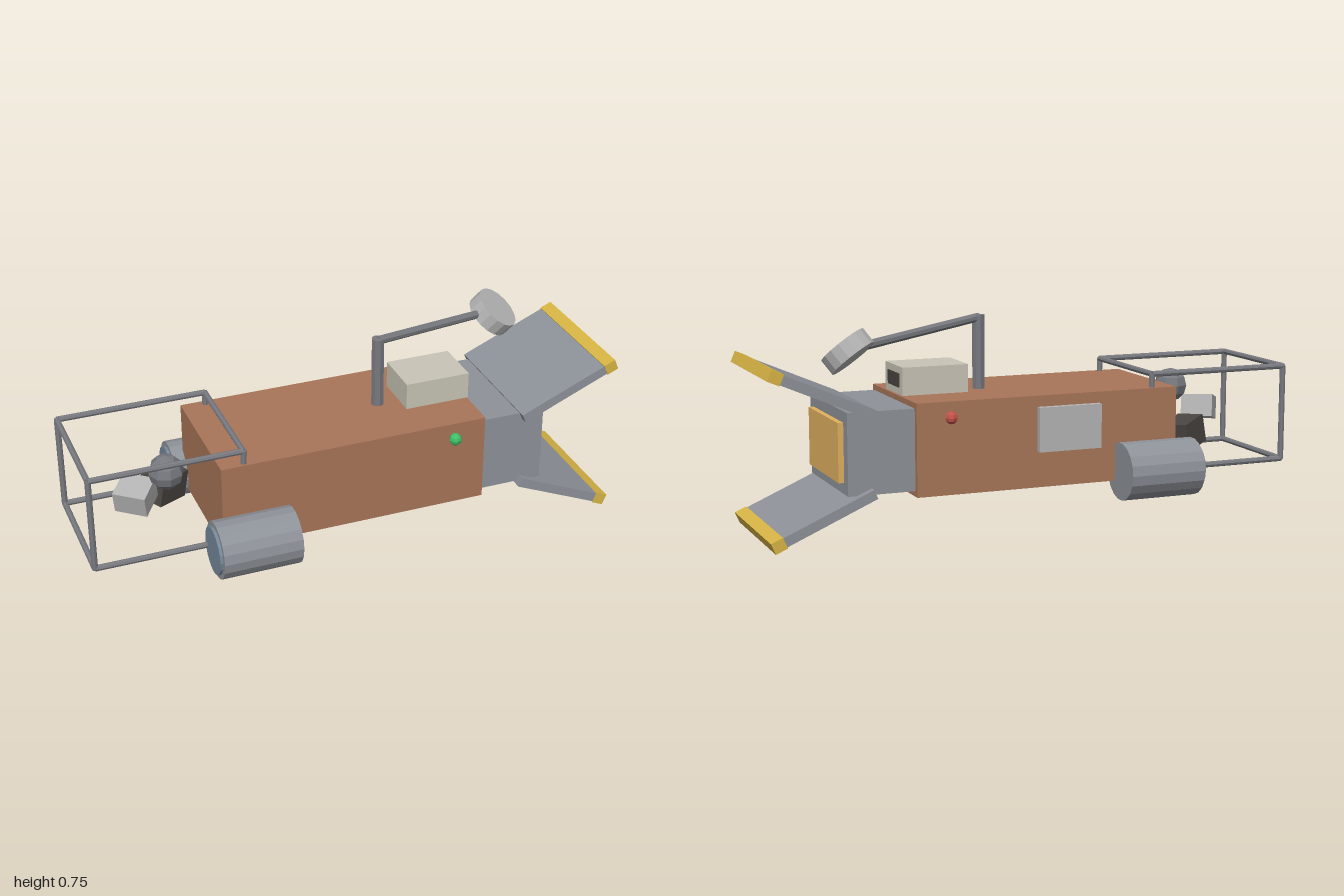
import * as THREE from 'three';

export function createModel() {
  const model = new THREE.Group();
  const mat = (color) => new THREE.MeshStandardMaterial({ color, flatShading: true });
  const brown = mat(0xa87558), steel = mat(0x8e9299), dark = mat(0x77797f), pale = mat(0xc8c4b6);
  const yellow = mat(0xd8b545), amber = mat(0xe0b060), blue = mat(0x76899b), black = mat(0x4a4542);
  const silver = mat(0xb4b4b4);

  function add(name, geometry, material, x = 0, y = 0, z = 0, parent = model) {
    const mesh = new THREE.Mesh(geometry, material);
    mesh.name = name;
    mesh.position.set(x, y, z);
    parent.add(mesh);
    return mesh;
  }
  const box = (name, size, pos, material, parent) =>
    add(name, new THREE.BoxGeometry(...size), material, ...pos, parent);

  // Round bar between two points
  function bar(name, a, b, radius, parent = model, sides = 8) {
    const p = new THREE.Vector3(...a), q = new THREE.Vector3(...b);
    const mesh = add(name, new THREE.CylinderGeometry(radius, radius, p.distanceTo(q), sides), dark, 0, 0, 0, parent);
    mesh.position.copy(p).add(q).multiplyScalar(0.5);
    mesh.quaternion.setFromUnitVectors(new THREE.Vector3(0, 1, 0), q.sub(p).normalize());
    return mesh;
  }

  // Hull and nose
  box('hull', [1, 0.33, 0.485], [-0.025, 0.315, -0.002], brown);
  box('nose', [0.245, 0.29, 0.45], [0.595, 0.315, 0], steel);
  box('nosePanel', [0.025, 0.21, 0.36], [0.725, 0.315, 0], amber);

  // Two splayed ramp doors with yellow tips
  for (const s of [1, -1]) {
    const door = new THREE.Group();
    door.name = s > 0 ? 'upperDoor' : 'lowerDoor';
    door.position.set(0.808, 0.3135 + s * 0.215, 0);
    door.rotation.z = s * 0.408;
    box('doorPlate', [0.36, 0.035, 0.508], [-0.018, 0, 0], steel, door);
    box('doorTip', [0.046, 0.042, 0.514], [0.176, 0, 0], yellow, door);
    model.add(door);
  }

  // Side engines and navigation lights
  for (const s of [1, -1]) {
    const side = s > 0 ? 'left' : 'right';
    add(side + 'Engine', new THREE.CylinderGeometry(0.105, 0.105, 0.29, 18), steel, -0.425, 0.192, s * 0.29).rotation.z = Math.PI / 2;
    add(side + 'Exhaust', new THREE.CylinderGeometry(0.088, 0.088, 0.02, 18), blue, -0.571, 0.192, s * 0.29).rotation.z = Math.PI / 2;
    add(side + 'Light', new THREE.SphereGeometry(0.023, 8, 6), mat(s > 0 ? 0x3fbf68 : 0xc4524a), 0.352, 0.425, s * 0.256);
  }

  // Open cargo cage at the rear
  const cage = new THREE.Group();
  cage.name = 'cargoCage';
  model.add(cage);
  const X = [-0.985, -0.437], Y = [0.175, 0.528], Z = [-0.222, 0.222], r = 0.011;
  for (const i of [0, 1]) for (const j of [0, 1]) {
    bar('cageRail', [X[0], Y[i], Z[j]], [X[1], Y[i], Z[j]], r, cage);
    bar('cagePost', [X[i], Y[0], Z[j]], [X[i], Y[1], Z[j]], r, cage);
    bar('cageCrossbar', [X[i], Y[j], Z[0]], [X[i], Y[j], Z[1]], r, cage);
  }

  // Loose cargo
  box('darkCrate', [0.14, 0.105, 0.105], [-0.65, 0.272, -0.075], black).rotation.set(0.1, 0.6, -0.22);
  box('paleCrate', [0.12, 0.085, 0.11], [-0.79, 0.342, 0.07], silver).rotation.set(0.3, -0.63, 0.15);
  add('cargoBall', new THREE.SphereGeometry(0.064, 8, 6), dark, -0.682, 0.43, 0.1);

  // Roof cabin with a window facing the nose
  box('cabin', [0.245, 0.1, 0.188], [0.353, 0.535, -0.006], pale);
  box('cabinWindow', [0.008, 0.05, 0.12], [0.475, 0.535, -0.006], black);

  // Hatch on the right side
  box('sideHatch', [0.24, 0.16, 0.025], [-0.095, 0.36, -0.256], silver);

  // Mast, arm and tilted dish
  bar('mast', [0.152, 0.47, 0], [0.152, 0.747, 0], 0.024);
  bar('mastArm', [0.152, 0.738, 0], [0.68, 0.673, -0.185], 0.016);
  const dish = add('dish', new THREE.CylinderGeometry(0.09, 0.09, 0.06, 16), silver, 0.7, 0.665, -0.19);
  dish.quaternion.setFromUnitVectors(new THREE.Vector3(0, 1, 0), new THREE.Vector3(0.52, 0.77, 0.38).normalize());

  return model;
}
